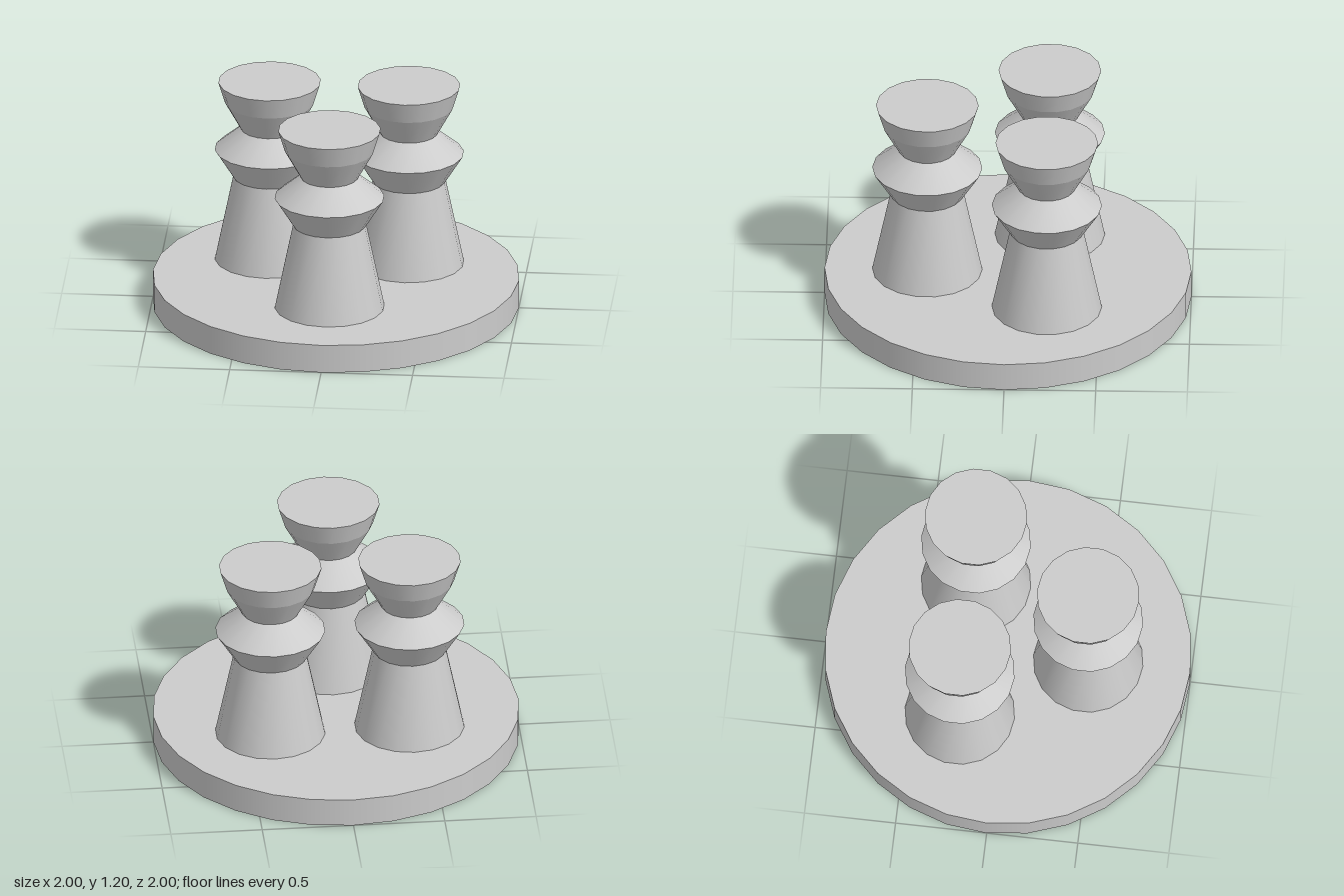
import * as THREE from 'three';

export function createModel() {
  const model = new THREE.Group();
  const grey = new THREE.MeshStandardMaterial({ color: 0xcccccc });
  grey.name = 'grey';

  // Round slab everything stands on
  const base = new THREE.Mesh(new THREE.CylinderGeometry(1, 1, 0.16, 28), grey);
  base.name = 'base';
  base.position.y = 0.08;
  model.add(base);

  // Peg bands, bottom to top: name, lower radius, upper radius, lower y, upper y
  const bands = [
    ['body', 0.3, 0.2, 0.16, 0.645],
    ['collarUnderside', 0.2, 0.3, 0.645, 0.805],
    ['collarTop', 0.3, 0.157, 0.805, 0.925],
    ['headLower', 0.157, 0.243, 0.925, 1.08],
    ['headUpper', 0.243, 0.28, 1.08, 1.2],
  ];

  function createPeg(name, x, z) {
    const peg = new THREE.Group();
    peg.name = name;
    peg.position.set(x, 0, z);
    for (const [part, r0, r1, y0, y1] of bands) {
      const band = new THREE.Mesh(new THREE.CylinderGeometry(r1, r0, y1 - y0, 18, 1, true), grey);
      band.name = part;
      band.position.y = (y0 + y1) / 2;
      peg.add(band);
    }
    // Flat lid of the head, its corners aligned with the bands
    const lid = new THREE.Mesh(new THREE.CircleGeometry(0.28, 18, Math.PI / 2), grey);
    lid.name = 'headTop';
    lid.rotation.x = -Math.PI / 2;
    lid.position.y = 1.2;
    peg.add(lid);
    return peg;
  }

  // Three pegs evenly spaced on a ring
  ['frontPeg', 'backLeftPeg', 'backRightPeg'].forEach((name, i) => {
    const a = (i * Math.PI * 2) / 3;
    model.add(createPeg(name, 0.44 * Math.sin(a), 0.44 * Math.cos(a)));
  });

  return model;
}
